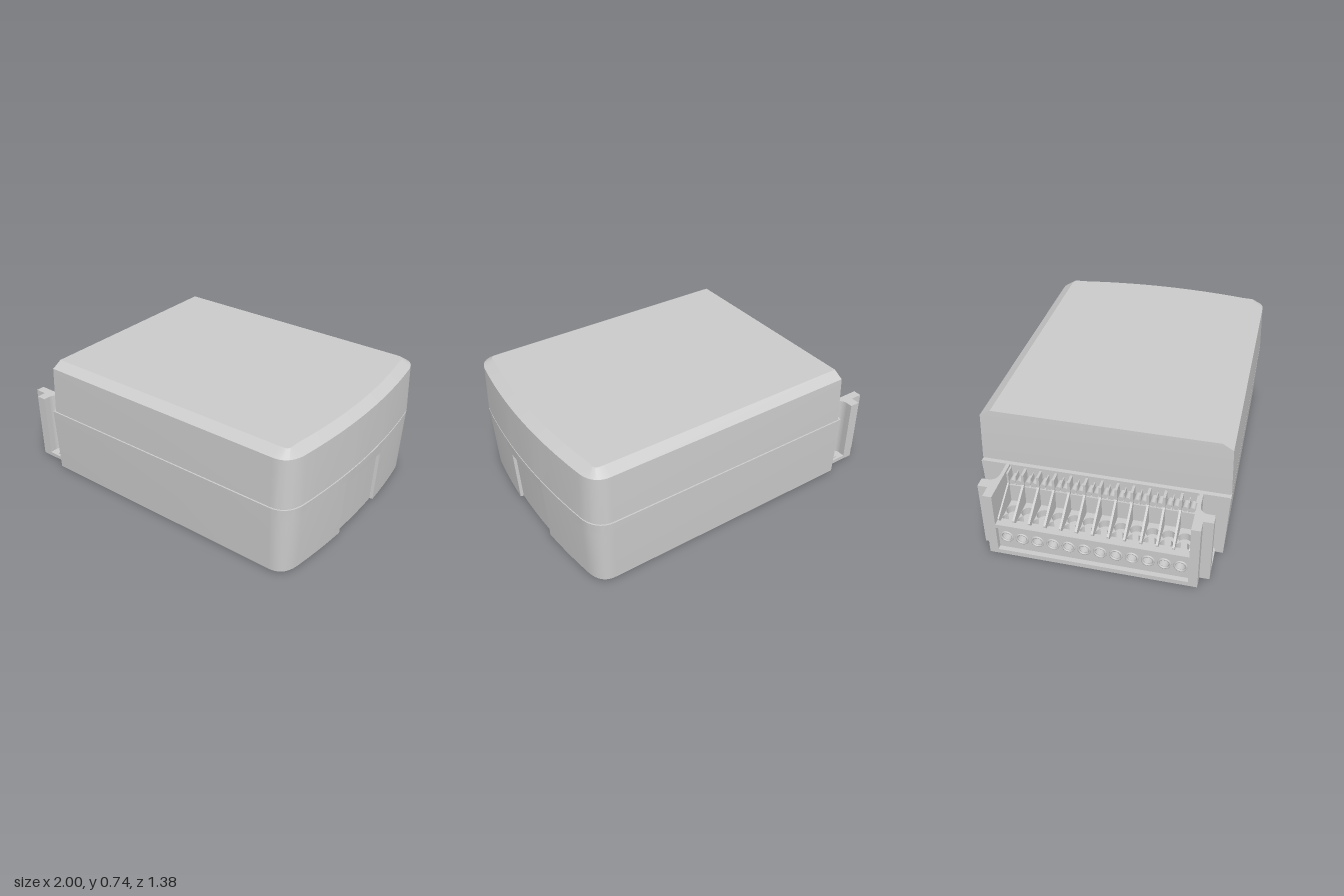
import * as THREE from 'three';
import { toCreasedNormals } from 'three/addons/utils/BufferGeometryUtils.js';

const grey = new THREE.MeshStandardMaterial({ color: 0xcccccc });
const PITCH = 0.087, CELLS = 12, FLOOR = 0.012;

function add(parent, name, geometry, x = 0, y = 0, z = 0) {
  const mesh = new THREE.Mesh(geometry, grey);
  mesh.name = name;
  mesh.position.set(x, y, z);
  parent.add(mesh);
  return mesh;
}

// Box given by its limits
function block(parent, name, x0, x1, y0, y1, z0, z1) {
  return add(parent, name, new THREE.BoxGeometry(x1 - x0, y1 - y0, z1 - z0),
    (x0 + x1) / 2, (y0 + y1) / 2, (z0 + z1) / 2);
}

const extrude = (shape, depth) =>
  new THREE.ExtrudeGeometry(shape, { depth, bevelEnabled: false, curveSegments: 10 });

function polygon(points) {
  return new THREE.Shape(points.map(([x, y]) => new THREE.Vector2(x, y)));
}

// Plan extrusion: shape y becomes -z, depth goes up
const plan = (shape, depth) => extrude(shape, depth).rotateX(-Math.PI / 2);
// End extrusion: shape x becomes z, depth goes towards -x
const endPlate = (shape, depth) => extrude(shape, depth).rotateY(-Math.PI / 2);

// Housing outline: straight sides, rounded corners and a bowed +x end with the door edges
const DOOR = 0.19;
function outline(inset, xl) {
  const w = 0.69 - inset, e = 0.57 - inset * 0.5;
  const corner = new THREE.CubicBezierCurve(
    new THREE.Vector2(0.83, w), new THREE.Vector2(0.9, w),
    new THREE.Vector2(0.945 - inset, e + 0.065), new THREE.Vector2(0.955 - inset, e)).getPoints(10);
  const half = [...corner];
  const bow = z => 0.998 - inset - 0.043 * (z / e) ** 2;
  for (const z of [0.48, 0.38, 0.28, DOOR + 0.005, DOOR, 0.13, 0.065]) half.push(new THREE.Vector2(bow(z), z));
  const mirrored = half.map(p => new THREE.Vector2(p.x, -p.y)).reverse();
  return [new THREE.Vector2(xl, w), ...half, new THREE.Vector2(bow(0), 0), ...mirrored, new THREE.Vector2(xl, -w)];
}

// Skin stacked rings from bottom to top and cap both ends
function loft(rings) {
  const n = rings[0].length, pos = [], index = [];
  rings.forEach(r => r.forEach(p => pos.push(p.x, p.y, p.z)));
  for (let i = 0; i < rings.length - 1; i++) {
    for (let j = 0; j < n; j++) {
      const k = (j + 1) % n, a = i * n + j, b = i * n + k;
      index.push(a, b, b + n, a, b + n, a + n);
    }
  }
  const low = rings.length * n, top = (rings.length - 1) * n;
  pos.push(0, rings[0][0].y, 0, 0, rings[rings.length - 1][0].y, 0);
  for (let j = 0; j < n; j++) {
    const k = (j + 1) % n;
    index.push(low, k, j, low + 1, top + j, top + k);
  }
  const g = new THREE.BufferGeometry();
  g.setAttribute('position', new THREE.Float32BufferAttribute(pos, 3));
  g.setIndex(index);
  return toCreasedNormals(g, 0.4);
}

// One ring; "door" sinks the panel, "arch" bends the height over the door
function ring(y, inset, xl, door = false, arch = false) {
  return outline(inset, xl).map(p => {
    const inDoor = p.x > 0 && Math.abs(p.y) <= DOOR + 1e-6;
    const lift = arch && inDoor ? 0.015 * (1 - (p.y / DOOR) ** 2) : 0;
    return new THREE.Vector3(p.x - (door && inDoor ? 0.018 : 0), y + lift, p.y);
  });
}

function addHousing(g) {
  const xb = -0.725;
  add(g, 'lowerHousing', loft([
    ring(FLOOR, 0.016, xb, true), ring(0.333, 0.004, xb, true, true), ring(0.336, 0.004, xb, false, true),
    ring(0.415, 0, xb), ring(0.416, 0.007, xb), ring(0.419, 0.007, xb)]));
  add(g, 'lid', loft([
    ring(0.419, 0.007, -0.7), ring(0.422, 0.007, -0.7), ring(0.423, 0, -0.7),
    ring(0.705, 0.011, -0.692), ring(0.74, 0.07, -0.69)]));
  // Small feet
  for (const [x, z, r] of [[-0.81, 0, 0.05], [0.87, 0.595, 0.04], [0.87, -0.595, 0.04]])
    add(g, 'foot', new THREE.CylinderGeometry(r, r, 0.014, 32), x, 0.007, z);
}

// Rounded slot or double circle hole, lying along x
function slot(cx, cy, halfLength, r) {
  const p = new THREE.Path();
  p.absarc(cx - halfLength, cy, r, Math.PI / 2, Math.PI * 1.5);
  p.absarc(cx + halfLength, cy, r, -Math.PI / 2, Math.PI / 2);
  p.closePath();
  return p;
}
function doubleCircle(cx, cy, d, r) {
  const a = Math.acos(d / r), p = new THREE.Path();
  p.absarc(cx - d, cy, r, a, Math.PI * 2 - a);
  p.absarc(cx + d, cy, r, Math.PI + a, Math.PI * 3 - a);
  p.closePath();
  return p;
}

function addCheeks(g) {
  // Floor with slotted mounting tabs
  const floor = polygon([[-1, -0.575], [-0.93, -0.575], [-0.93, -0.63], [-0.72, -0.63],
    [-0.72, 0.63], [-0.93, 0.63], [-0.93, 0.575], [-1, 0.575]]);
  for (const s of [-1, 1]) floor.holes.push(slot(-0.78, s * 0.582, 0.018, 0.02));
  add(g, 'terminalFloor', plan(floor, 0.024), 0, FLOOR, 0);
  for (const s of [-1, 1]) {
    const rim = new THREE.Shape(slot(-0.78, s * 0.582, 0.026, 0.032).getPoints(10));
    rim.holes.push(slot(-0.78, s * 0.582, 0.018, 0.02));
    add(g, 'slotRim', plan(rim, 0.04), 0, 0.003, 0);
    // Side cheek with a hollow that leaves room for the screw
    const cheek = new THREE.Shape();
    cheek.moveTo(-1, s * 0.525);
    cheek.lineTo(-1, s * 0.575);
    cheek.lineTo(-0.93, s * 0.575);
    cheek.lineTo(-0.93, s * 0.63);
    cheek.lineTo(-0.87, s * 0.63);
    cheek.lineTo(-0.87, s * 0.59);
    cheek.quadraticCurveTo(-0.865, s * 0.545, -0.81, s * 0.545);
    cheek.lineTo(-0.72, s * 0.545);
    cheek.lineTo(-0.72, s * 0.525);
    cheek.closePath();
    add(g, 'sideCheek', plan(cheek, 0.42 - FLOOR), 0, FLOOR, 0);
  }
}

function addTerminals(g) {
  const half = CELLS * PITCH / 2;
  const centres = Array.from({ length: CELLS }, (_, i) => (i - (CELLS - 1) / 2) * PITCH);
  // Frame around the wire entries
  const frame = polygon([[-0.575, FLOOR], [0.575, FLOOR], [0.575, 0.225], [-0.575, 0.225]]);
  frame.holes.push(new THREE.Path([[-0.525, 0.04], [0.525, 0.04], [0.525, 0.2], [-0.525, 0.2]]
    .map(([x, y]) => new THREE.Vector2(x, y))));
  add(g, 'entryFrame', endPlate(frame, 0.035), -0.965, 0, 0);

  // Front plate with round wire entries and collars
  const face = polygon([[-0.53, 0.03], [0.53, 0.03], [0.53, 0.2], [-0.53, 0.2]]);
  for (const z of centres) {
    const hole = new THREE.Path();
    hole.absarc(z, 0.12, 0.03, 0, Math.PI * 2);
    face.holes.push(hole);
    add(g, 'entryCollar', new THREE.TorusGeometry(0.032, 0.006, 8, 24).rotateY(Math.PI / 2), -0.972, 0.12, z);
  }
  add(g, 'entryPlate', endPlate(face, 0.05), -0.922, 0, 0);

  // Deck with double round pockets
  const deck = polygon([[-0.97, -0.53], [-0.78, -0.53], [-0.78, 0.53], [-0.97, 0.53]]);
  for (const z of centres) deck.holes.push(doubleCircle(-0.885, z, 0.033, 0.037));
  add(g, 'terminalDeck', plan(deck, 0.05), 0, 0.155, 0);
  block(g, 'terminalCore', -0.925, -0.72, 0.03, 0.16, -0.53, 0.53);

  // Raised terrace along the housing wall
  block(g, 'terrace', -0.78, -0.72, 0.15, 0.32, -0.53, 0.53);
  const fin = polygon([[-0.965, 0.2], [-0.78, 0.2], [-0.78, 0.34], [-0.965, 0.235]]);
  for (let i = 0; i <= CELLS; i++) {
    const z = -half + i * PITCH;
    add(g, 'divider', extrude(fin, 0.012), 0, 0, z - 0.006);
    block(g, 'terraceTooth', -0.785, -0.72, 0.3, 0.405, z - 0.007, z + 0.007);
  }
  // Rounded contact pads between the teeth, two per cell
  for (const z of centres) {
    for (const s of [-1, 1])
      add(g, 'contactPad', new THREE.CylinderGeometry(0.016, 0.016, 0.06, 16).rotateZ(Math.PI / 2),
        -0.752, 0.345, z + s * 0.019);
    block(g, 'padRib', -0.775, -0.72, 0.3, 0.385, z - 0.003, z + 0.003);
  }
}

export function createModel() {
  const model = new THREE.Group();
  model.name = 'controllerBox';
  for (const [name, build] of [['housing', addHousing], ['cheeks', addCheeks], ['terminals', addTerminals]]) {
    const part = new THREE.Group();
    part.name = name;
    build(part);
    model.add(part);
  }
  return model;
}
